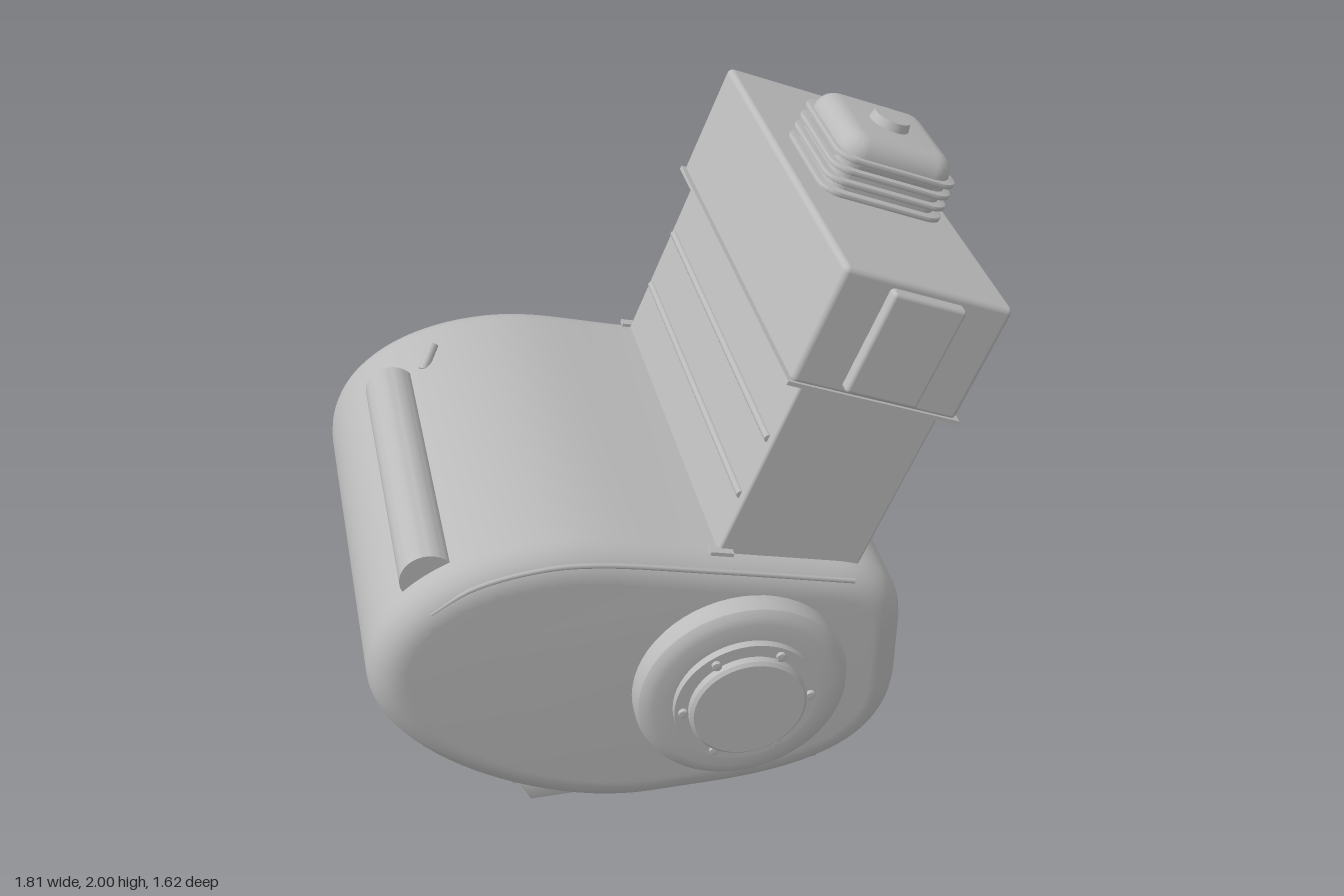
import * as THREE from 'three';
import { toCreasedNormals } from 'three/addons/utils/BufferGeometryUtils.js';
import { RoundedBoxGeometry } from 'three/addons/geometries/RoundedBoxGeometry.js';

const metal = new THREE.MeshStandardMaterial({ color: 0xbbbbbb });
metal.name = 'grey metal';

function add(parent, name, geometry, x = 0, y = 0, z = 0) {
  const mesh = new THREE.Mesh(geometry, metal);
  mesh.name = name;
  mesh.position.set(x, y, z);
  parent.add(mesh);
  return mesh;
}

// Extruded shape of total depth d with an inward bevel at both ends, starting at z = 0
function slab(shape, d, bevel, steps, curveSegments = 8) {
  const g = new THREE.ExtrudeGeometry(shape, {
    depth: d - 2 * bevel, bevelEnabled: bevel > 0, bevelSize: bevel, bevelThickness: bevel,
    bevelOffset: -bevel, bevelSegments: steps, curveSegments,
  });
  g.translate(0, 0, bevel);
  return toCreasedNormals(g, 0.6);
}

function roundedSquare(h, r) {
  const s = new THREE.Shape();
  s.absarc(h - r, h - r, r, 0, Math.PI / 2);
  s.absarc(r - h, h - r, r, Math.PI / 2, Math.PI);
  s.absarc(r - h, r - h, r, Math.PI, Math.PI * 1.5);
  s.absarc(h - r, r - h, r, Math.PI * 1.5, Math.PI * 2);
  return s;
}

// Turned part whose axis is z; profile is [radius, z] from the base to the tip
function turned(profile) {
  const g = new THREE.LatheGeometry(profile.map(([r, z]) => new THREE.Vector2(r, z)), 56);
  return toCreasedNormals(g.rotateX(Math.PI / 2), 0.5);
}

function buildCrankcase(engine) {
  const s = new THREE.Shape();
  s.moveTo(-0.91, 0.68);
  s.bezierCurveTo(-0.91, 0.95, -0.66, 1.085, -0.38, 1.085);
  s.bezierCurveTo(-0.22, 1.085, -0.1, 1.033, 0.1, 0.985);
  s.lineTo(0.46, 0.895);
  s.bezierCurveTo(0.61, 0.855, 0.67, 0.77, 0.67, 0.63);
  s.lineTo(0.67, 0.45);
  s.bezierCurveTo(0.67, 0.22, 0.5, 0.08, 0.1, 0.08);
  s.lineTo(-0.1, 0.08);
  s.bezierCurveTo(-0.45, 0.08, -0.91, 0.4, -0.91, 0.68);
  add(engine, 'crankcase', slab(s, 1.36, 0.1, 8, 24), 0, 0, -0.68);

  // Fine seam along the upper front edge
  const seam = [[-0.72, 0.93], [-0.6, 1.0], [-0.4, 1.035], [-0.25, 1.025], [0.1, 0.945], [0.5, 0.845]]
    .map(([x, y]) => new THREE.Vector3(x, y, 0.665));
  add(engine, 'coverSeam', new THREE.TubeGeometry(new THREE.CatmullRomCurve3(seam), 40, 0.008, 6));
}

function buildCovers(engine) {
  // Stepped front cover with a ring of bolts
  const front = new THREE.Group();
  front.name = 'frontCover';
  front.position.set(0.16, 0.537, 0);
  engine.add(front);
  add(front, 'coverFlange', turned([[0.32, 0.66], [0.32, 0.715], [0.312, 0.735], [0.295, 0.748],
    [0.27, 0.754], [0.215, 0.754], [0.215, 0.778], [0.175, 0.778], [0.175, 0.8], [0.165, 0.808], [0, 0.808]]));
  for (let i = 0; i < 6; i++) {
    const a = i * Math.PI / 3;
    add(front, 'coverBolt', turned([[0.014, 0.77], [0.014, 0.79], [0, 0.792]]),
      0.19 * Math.cos(a), 0.19 * Math.sin(a), 0);
  }

  // Domed rear cover with a centre boss
  const rear = new THREE.Group();
  rear.name = 'rearCover';
  rear.rotation.y = Math.PI;
  engine.add(rear);
  add(rear, 'rearDome', turned([[0.305, 0.66], [0.305, 0.695], [0.29, 0.698], [0.275, 0.72], [0.24, 0.745],
    [0.19, 0.769], [0.13, 0.786], [0.06, 0.796], [0, 0.797]]), -0.16, 0.537, 0);
  add(rear, 'rearBoss', turned([[0.045, 0.77], [0.045, 0.81], [0, 0.81]]), -0.16, 0.537, 0);
  add(rear, 'rearPlug', turned([[0.05, 0.66], [0.05, 0.705], [0, 0.705]]), 0.35, 0.5, 0);
}

function buildPanAndFittings(engine) {
  // Tapered sump pan, end lips and drain plug
  const s = new THREE.Shape([[-0.45, 0.03], [0.465, 0.03], [0.505, 0.125], [-0.49, 0.125]]
    .map(([x, y]) => new THREE.Vector2(x, y)));
  add(engine, 'sumpPan', slab(s, 1.074, 0.006, 2), 0, 0, -0.537);
  for (const x of [-0.495, 0.51]) {
    add(engine, 'panLip', new THREE.CylinderGeometry(0.012, 0.012, 1.07, 10).rotateX(Math.PI / 2), x, 0.118, 0);
  }
  add(engine, 'drainPlug', new THREE.CylinderGeometry(0.028, 0.028, 0.04, 16), 0, 0.02, 0);

  // Breather tube across the back slope, with a tapered end
  add(engine, 'breatherTube', turned([[0, 0.58], [0.08, 0.58], [0.08, -0.39], [0.045, -0.43], [0, -0.43]].reverse()),
    -0.715, 0.987, 0);
  const stick = add(engine, 'dipstick', new THREE.CylinderGeometry(0.016, 0.016, 0.09, 12), -0.588, 1.07, -0.42);
  stick.rotation.set(-0.8, 0, -0.5);
}

function buildTower(engine) {
  const tower = new THREE.Group();
  tower.name = 'cylinderTower';
  tower.position.set(0.592, 1.611, 0.005);
  tower.rotation.z = -THREE.MathUtils.degToRad(22);
  engine.add(tower);

  // Cylinder block, gasket lip and head
  add(tower, 'cylinderBlock', new RoundedBoxGeometry(0.438, 0.78, 1.225, 3, 0.01), 0, -0.54, 0);
  add(tower, 'gasketLip', new THREE.BoxGeometry(0.54, 0.012, 1.27), 0, -0.182, 0);
  add(tower, 'cylinderHead', new RoundedBoxGeometry(0.523, 0.37, 1.255, 4, 0.018));
  add(tower, 'headSidePlate', new RoundedBoxGeometry(0.226, 0.32, 0.06, 3, 0.012), 0, 0, 0.63);

  // Long ribs on both broad faces
  for (const x of [-0.219, 0.219]) {
    for (const y of [-0.39, -0.585]) {
      add(tower, 'blockRib', new THREE.CylinderGeometry(0.012, 0.012, 1.17, 10).rotateX(Math.PI / 2), x, y, 0);
    }
  }

  // Four capped ports
  for (const z of [0.425, 0.14, -0.145, -0.425]) {
    const port = new THREE.Group();
    port.name = 'port';
    port.position.set(0.26, 0, z);
    port.scale.x = 0.55;
    tower.add(port);
    add(port, 'portStub', new THREE.CylinderGeometry(0.052, 0.045, 0.06, 20), 0, -0.025, 0);
    add(port, 'portCap', new THREE.CylinderGeometry(0.058, 0.07, 0.022, 24), 0, 0.014, 0);
  }

  // Finned top with a domed cap and knob
  const flat = (name, h, r, d, bevel, steps, y) =>
    add(tower, name, slab(roundedSquare(h, r), d, bevel, steps).rotateX(-Math.PI / 2), 0, y, 0);
  flat('finCore', 0.175, 0.05, 0.13, 0, 1, 0.18);
  for (let i = 0; i < 4; i++) flat('coolingFin', 0.2 - i * 0.002, 0.06, 0.016, 0.004, 2, 0.192 + i * 0.035);
  const cap = new THREE.Group();
  cap.name = 'domedCap';
  tower.add(cap);
  cap.add(flat('capDome', 0.18, 0.07, 0.13, 0.06, 6, 0.24));
  add(cap, 'capKnob', new THREE.CylinderGeometry(0.055, 0.065, 0.045, 28), 0, 0.373, 0);
}

function buildBrackets(engine) {
  // Small mounting tabs where the tower meets the case
  for (const z of [-0.615, 0.625]) {
    const tab = add(engine, 'mountTab', new THREE.BoxGeometry(0.07, 0.012, 0.03), 0.11, 0.985, z);
    tab.rotation.z = -0.25;
  }
}

export function createModel() {
  const engine = new THREE.Group();
  engine.name = 'engine';
  buildCrankcase(engine);
  buildCovers(engine);
  buildPanAndFittings(engine);
  buildTower(engine);
  buildBrackets(engine);
  return engine;
}
